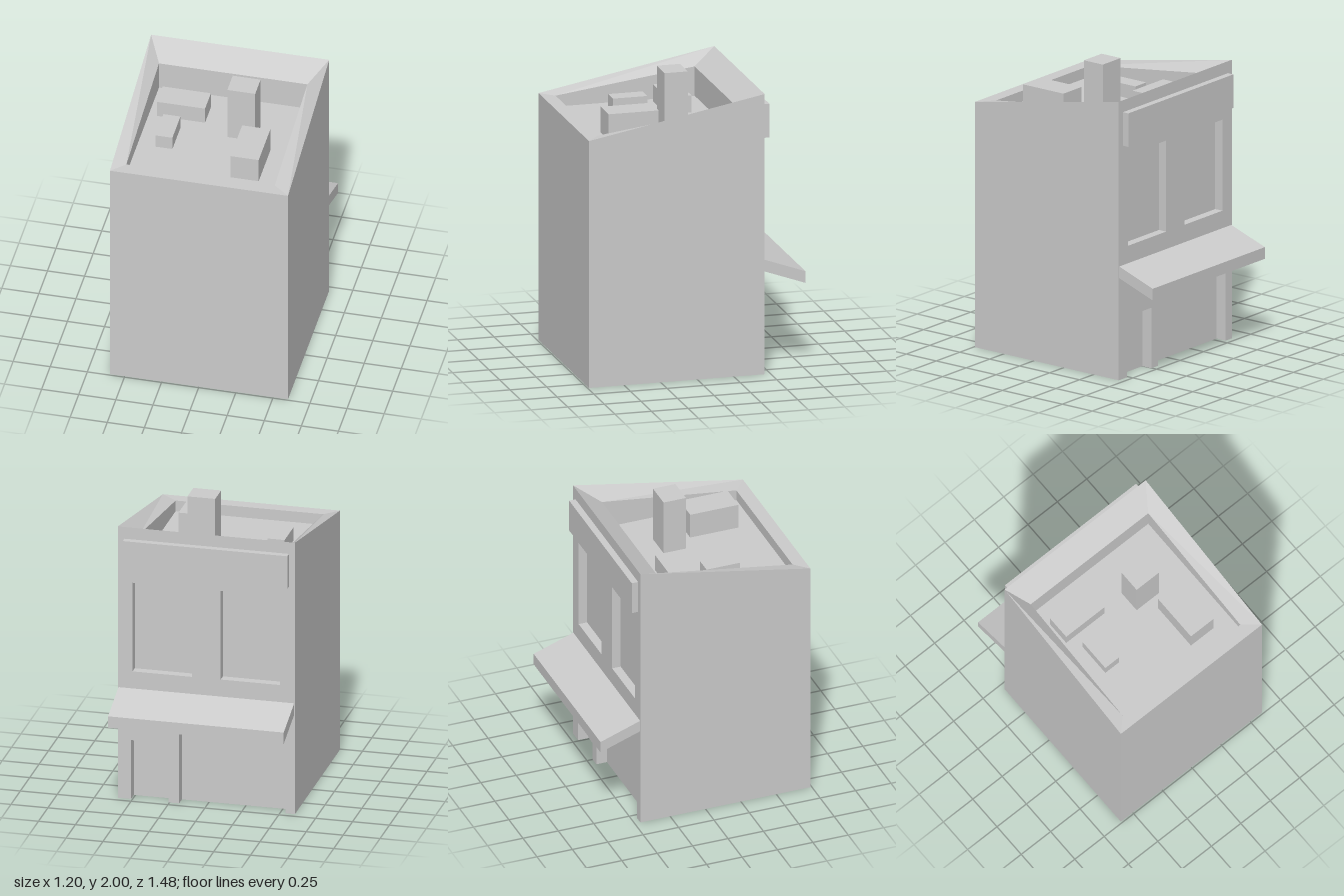
import * as THREE from 'three';

const material = new THREE.MeshStandardMaterial({ color: 0xcccccc });
const BACK = -0.46, FRONT = 0.74, HALF = 0.6;
const FLOOR = 1.61;

function part(name, geometry) {
  const mesh = new THREE.Mesh(geometry, material);
  mesh.name = name;
  return mesh;
}

// Box from its minimum and maximum corners
function box(name, [x0, y0, z0], [x1, y1, z1]) {
  const mesh = part(name, new THREE.BoxGeometry(x1 - x0, y1 - y0, z1 - z0));
  mesh.position.set((x0 + x1) / 2, (y0 + y1) / 2, (z0 + z1) / 2);
  return mesh;
}

// Join four-cornered rings with flat faces and close the last ring;
// skip(ring, side) leaves a face open
function loft(rings, skip) {
  const points = [];
  const quad = (a, b, c, d) => points.push(...a, ...b, ...c, ...a, ...c, ...d);
  for (let r = 0; r < rings.length - 1; r++) {
    for (let i = 0; i < 4; i++) {
      if (skip(r, i)) continue;
      const j = (i + 1) % 4;
      quad(rings[r][i], rings[r][j], rings[r + 1][j], rings[r + 1][i]);
    }
  }
  quad(...rings[rings.length - 1]);
  const geometry = new THREE.BufferGeometry();
  geometry.setAttribute('position', new THREE.Float32BufferAttribute(points, 3));
  geometry.computeVertexNormals();
  return geometry;
}

// Ring around the building with its own front and back height
const ring = (x0, x1, zBack, zFront, yBack, yFront) => [
  [x0, yFront, zFront], [x1, yFront, zFront], [x1, yBack, zBack], [x0, yBack, zBack],
];

const shapeOf = (points) => new THREE.Shape(points.map(([x, y]) => new THREE.Vector2(x, y)));

export function createModel() {
  const model = new THREE.Group();
  model.name = 'shopBuilding';

  // Plain walls, sloping parapet rim and sunken roof; the shop side is left open
  model.add(part('wallsAndRoof', loft([
    ring(-HALF, HALF, BACK, FRONT, 0, 0),
    ring(-HALF, HALF, BACK, FRONT, 1.912, 1.685),
    ring(-0.51, 0.49, -0.30, 0.65, 1.81, 1.685),
    ring(-0.51, 0.49, -0.30, 0.65, FLOOR, FLOOR),
  ], (r, i) => r === 0 && i === 2)));

  // Shop front, built facing +z and turned to the back
  const facade = new THREE.Group();
  facade.name = 'shopFront';
  facade.rotation.y = Math.PI;
  facade.position.z = BACK;
  model.add(facade);

  const openings = [
    { name: 'doorRecess', x0: -0.51, x1: -0.255, y0: 0, y1: 0.415, depth: 0.075 },
    { name: 'shopWindowRecess', x0: -0.185, x1: 0.535, y0: 0, y1: 0.54, depth: 0.075 },
    { name: 'upperWindowRecess', x0: -0.5, x1: -0.097, y0: 0.9, y1: 1.525, depth: 0.06 },
    { name: 'upperWindowRecess', x0: 0.097, x1: 0.5, y0: 0.9, y1: 1.525, depth: 0.06 },
  ];
  const groundOpenings = openings.filter((o) => o.y0 === 0);

  // Front wall: ground openings notch the outline, upper windows are holes
  const outline = [[-HALF, 0]];
  for (const o of groundOpenings) outline.push([o.x0, 0], [o.x0, o.y1], [o.x1, o.y1], [o.x1, 0]);
  outline.push([HALF, 0], [HALF, 1.912], [-HALF, 1.912]);
  const wall = shapeOf(outline);
  for (const o of openings) {
    if (o.y0 === 0) continue;
    wall.holes.push(shapeOf([[o.x0, o.y0], [o.x0, o.y1], [o.x1, o.y1], [o.x1, o.y0]]));
  }
  facade.add(part('frontWall', new THREE.ShapeGeometry(wall)));

  // Reveals and panes of the openings
  for (const { name, x0, x1, y0, y1, depth } of openings) {
    const rect = (z) => [[x0, y0, z], [x1, y0, z], [x1, y1, z], [x0, y1, z]];
    facade.add(part(name, loft([rect(0), rect(-depth)], (r, i) => i === 0 && y0 === 0)));
  }

  // Underside, notched below the ground openings
  const base = [[-HALF, 0]];
  for (const { x0, x1, depth } of groundOpenings) {
    base.push([x0, 0], [x0, -depth], [x1, -depth], [x1, 0]);
  }
  base.push([HALF, 0], [HALF, BACK - FRONT], [-HALF, BACK - FRONT]);
  const underside = new THREE.ShapeGeometry(shapeOf(base));
  underside.rotateX(Math.PI / 2);
  facade.add(part('underside', underside));

  // Sign board above the windows
  facade.add(box('signBoard', [-0.555, 1.6, 0], [0.56, 1.83, 0.045]));

  // Sloping awning: side profile (outward, up) extruded along the width
  const awning = new THREE.ExtrudeGeometry(
    shapeOf([[0, 0.7], [0.28, 0.6], [0.28, 0.68], [0, 0.78]]),
    { depth: 1.19, bevelEnabled: false },
  );
  awning.rotateY(-Math.PI / 2);
  awning.translate(0.595, 0, 0);
  facade.add(part('awning', awning));

  // Boxes on the roof
  model.add(
    box('chimney', [0.047, FLOOR, -0.04], [0.235, 2, 0.118]),
    box('largeRoofUnit', [0.165, FLOOR, 0.195], [0.355, 1.785, 0.535]),
    box('wideRoofUnit', [-0.455, FLOOR, -0.17], [-0.13, 1.726, 0]),
    box('smallRoofUnit', [-0.39, FLOOR, 0.09], [-0.275, 1.703, 0.325]),
  );

  return model;
}
